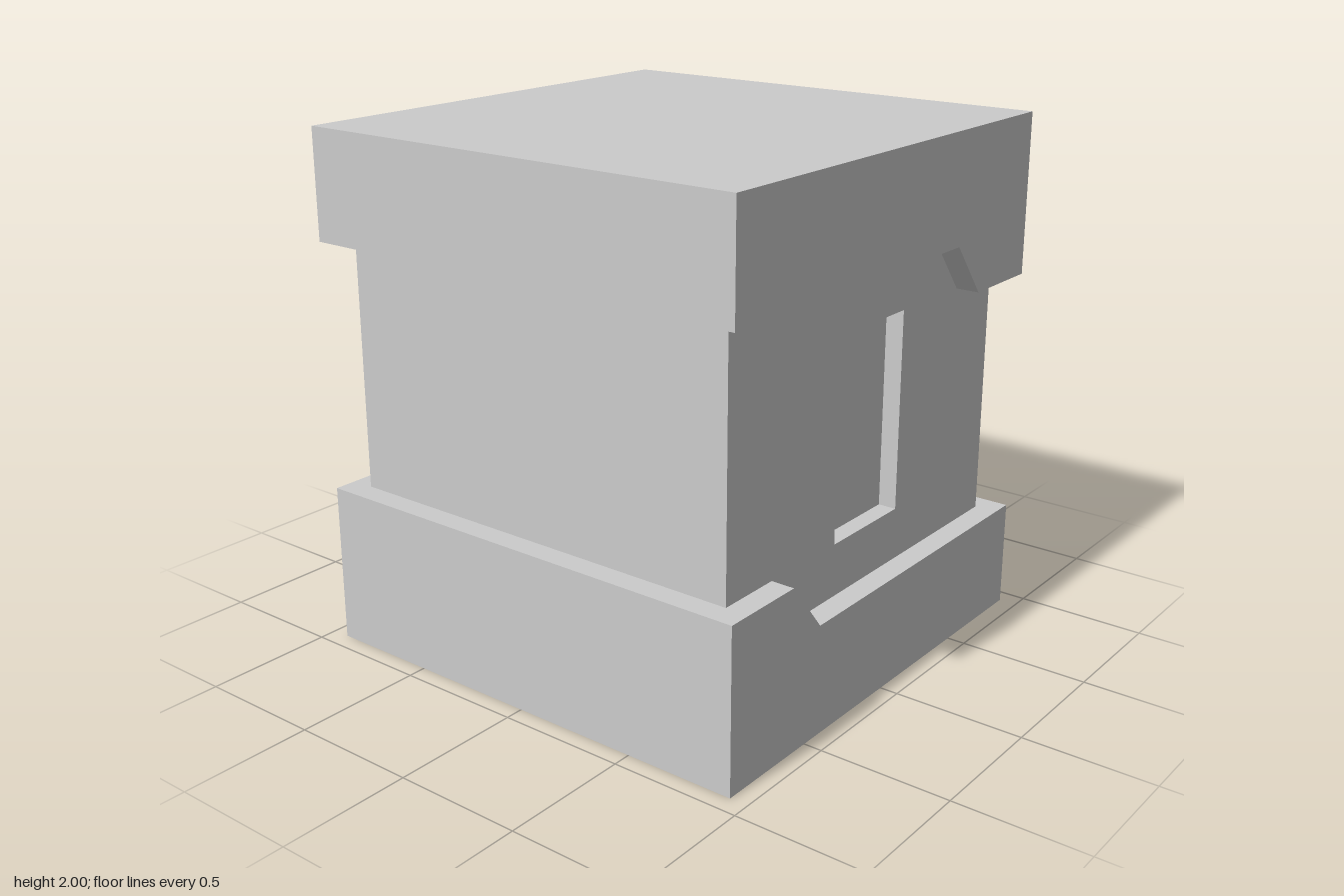
import * as THREE from 'three';

const HALF = 0.93;   // half width of the caps
const CORE = 0.84;   // half width of the core
const RECESS = 0.07; // depth of the front recess

const material = new THREE.MeshStandardMaterial({ color: 0xcccccc });

function polygon(points) {
  return new THREE.Shape(points.map(([x, y]) => new THREE.Vector2(x, y)));
}

// Extrudes a front outline from z0 to z1
function slab(name, shape, z0, z1) {
  const geometry = new THREE.ExtrudeGeometry(shape, { depth: z1 - z0, bevelEnabled: false });
  geometry.translate(0, 0, z0);
  const mesh = new THREE.Mesh(geometry, material);
  mesh.name = name;
  return mesh;
}

function rectangle(x, y0, y1) {
  return [[-x, y0], [x, y0], [x, y1], [-x, y1]];
}

export function createModel() {
  const model = new THREE.Group();
  model.name = 'steppedCrate';

  // Bottom cap with its raised step; the top cap is the same outline turned half a turn
  const outline = [[-HALF, 0], [HALF, 0], [HALF, 0.42], [-0.42, 0.42], [-0.585, 0.622], [-HALF, 0.622]];
  const turned = outline.map(([x, y]) => [-x, 2 - y]);
  // The top cap's tall end is on +x, reaching down to 1.38
  model.add(slab('bottomCap', polygon(outline), -HALF, HALF));
  model.add(slab('topCap', polygon(turned), -HALF, HALF));

  // Core block, with a front plate pierced by the recess
  const core = new THREE.Group();
  core.name = 'core';
  const plate = polygon(rectangle(CORE, 0.4, 1.6));
  plate.holes.push(polygon(rectangle(0.205, 0.62, 1.38)));
  core.add(slab('coreBlock', polygon(rectangle(CORE, 0.4, 1.6)), -CORE, CORE - RECESS));
  core.add(slab('recessedFront', plate, CORE - RECESS, CORE));
  model.add(core);

  return model;
}
